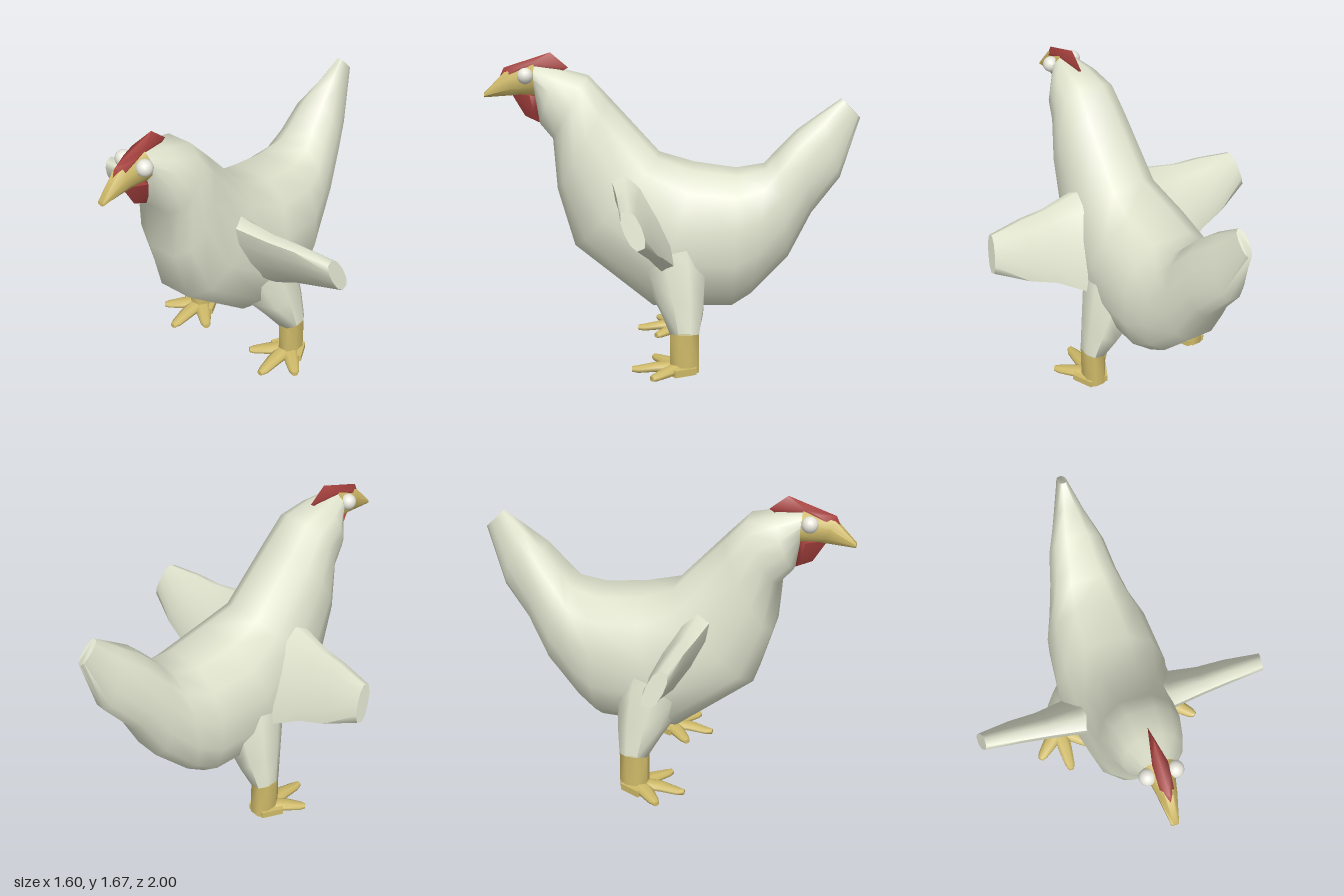
import * as THREE from 'three';
import { toCreasedNormals } from 'three/addons/utils/BufferGeometryUtils.js';
import { ConvexGeometry } from 'three/addons/geometries/ConvexGeometry.js';

const V = (x, y, z) => new THREE.Vector3(x, y, z);

// Closed ring between two opposite points, bulging along v; p < 1 makes it squarer
function ring(top, bottom, v, n = 12, p = 0.72) {
  const c = top.clone().add(bottom).multiplyScalar(0.5);
  const u = top.clone().sub(c).divideScalar(Math.cos(Math.PI / n));
  return Array.from({ length: n }, (_, i) => {
    const a = ((i + 0.5) / n) * Math.PI * 2;
    const s = Math.sin(a);
    return c.clone().addScaledVector(u, Math.cos(a)).addScaledVector(v, Math.sign(s) * Math.abs(s) ** p);
  });
}

// Skin over a row of rings, capped at both ends, always facing outward
function loft(rings, crease = 1.2) {
  const n = rings[0].length, m = rings.length, pts = rings.flat(), tris = [];
  for (let r = 0; r < m - 1; r++) {
    for (let i = 0; i < n; i++) {
      const a = r * n + i, b = r * n + ((i + 1) % n);
      tris.push([a, b, b + n], [a, b + n, a + n]);
    }
  }
  for (let i = 1; i < n - 1; i++) {
    const e = (m - 1) * n;
    tris.push([0, i + 1, i], [e, e + i, e + i + 1]);
  }
  const mid = pts.reduce((s, q) => s.add(q), V(0, 0, 0)).divideScalar(pts.length);
  let volume = 0;
  for (const [a, b, c] of tris) {
    const [A, B, C] = [a, b, c].map((k) => pts[k].clone().sub(mid));
    volume += A.dot(B.cross(C));
  }
  if (volume < 0) tris.forEach((t) => t.reverse());
  const g = new THREE.BufferGeometry().setFromPoints(pts);
  g.setIndex(tris.flat());
  return toCreasedNormals(g, crease);
}

export function createModel() {
  const material = (name, color) => {
    const m = new THREE.MeshStandardMaterial({ color });
    m.name = name;
    return m;
  };
  const feather = material('feather white', 0xdfe3cd);
  const yellow = material('beak yellow', 0xcfba69);
  const red = material('comb red', 0xa8423f);
  const eyeWhite = material('eye white', 0xe6e6dc);

  const model = new THREE.Group();
  model.name = 'hen';
  const add = (name, geometry, mat, parent = model) => {
    const mesh = new THREE.Mesh(geometry, mat);
    mesh.name = name;
    parent.add(mesh);
    return mesh;
  };

  // Body from face to tail: top z, top y, bottom z, bottom y, half width
  const body = [
    [0.73, 1.6, 0.72, 1.43, 0.085],
    [0.6, 1.58, 0.7, 1.3, 0.15],
    [0.45, 1.54, 0.63, 1.22, 0.187],
    [0.34, 1.42, 0.61, 0.95, 0.218],
    [0.07, 1.12, 0.52, 0.64, 0.253],
    [-0.12, 1.06, 0.1, 0.31, 0.313],
    [-0.35, 1.03, -0.33, 0.31, 0.287],
    [-0.5, 1.06, -0.43, 0.37, 0.235],
    [-0.56, 1.13, -0.63, 0.58, 0.192],
    [-0.67, 1.25, -0.75, 0.82, 0.155],
    [-0.79, 1.345, -0.9, 1.01, 0.085],
    [-0.9, 1.43, -1.0, 1.33, 0.025],
  ];
  add('body', loft(body.map(([tz, ty, bz, by, w]) => ring(V(0, ty, tz), V(0, by, bz), V(w, 0, 0)))), feather);

  // Beak
  const beak = [
    [0.73, 1.615, 0.71, 1.44, 0.08],
    [0.89, 1.565, 0.83, 1.445, 0.05],
    [1.0, 1.455, 1.0, 1.43, 0.02],
  ];
  add('beak', loft(beak.map(([tz, ty, bz, by, w]) => ring(V(0, ty, tz), V(0, by, bz), V(w, 0, 0), 8, 1)), 0.9), yellow);

  // Comb and wattle
  add('comb', toCreasedNormals(new ConvexGeometry([
    V(0, 1.67, 0.645), V(0, 1.59, 0.55), V(0, 1.56, 0.6), V(0, 1.588, 0.893), V(0, 1.54, 0.915),
    ...[1, -1].flatMap((s) => [V(0.038 * s, 1.618, 0.74), V(0.036 * s, 1.595, 0.8), V(0.032 * s, 1.54, 0.885)]),
  ]), 1.8), red);
  add('wattle', toCreasedNormals(new ConvexGeometry([
    V(0, 1.45, 0.855), V(0, 1.33, 0.785), V(0, 1.29, 0.7), V(0, 1.43, 0.69),
    ...[1, -1].flatMap((s) => [V(0.067 * s, 1.45, 0.75), V(0.05 * s, 1.37, 0.735)]),
  ]), 1.5), red);

  for (const [side, s] of [['left', 1], ['right', -1]]) {
    add(side + 'Eye', new THREE.SphereGeometry(0.043, 16, 12), eyeWhite).position.set(0.068 * s, 1.553, 0.77);

    // Wing, leaning forward at its upper edge: top x y z, bottom x y z, half thickness
    const wing = [
      [0.14, 1.06, 0.28, 0.2, 0.52, 0.0, 0.1],
      [0.24, 1.04, 0.275, 0.32, 0.58, 0.015, 0.08],
      [0.42, 1.015, 0.25, 0.47, 0.67, 0.06, 0.062],
      [0.57, 1.015, 0.235, 0.62, 0.73, 0.08, 0.055],
      [0.76, 1.0, 0.21, 0.8, 0.82, 0.13, 0.045],
    ];
    add(side + 'Wing', loft(wing.map(([tx, ty, tz, bx, by, bz, t]) =>
      ring(V(tx * s, ty, tz), V(bx * s, by, bz), V(0, -0.4 * t, 0.92 * t), 10, 0.7))), feather);

    // Ring across the leg: centre x y z, half width, half depth, rise of the outer side
    const across = ([x, y, z, w, d, rise = 0]) =>
      ring(V(x * s, y, z + d), V(x * s, y, z - d), V(w * s, rise, 0), 8, 0.8);
    const leg = new THREE.Group();
    leg.name = side + 'Leg';
    model.add(leg);
    // Thigh, sloping from the flank and belly down to the ankle
    add('thigh', loft([
      [0.14, 0.62, 0.0, 0.14, 0.17, 0.16],
      [0.217, 0.455, -0.035, 0.113, 0.145, 0.145],
      [0.277, 0.338, -0.06, 0.087, 0.112, 0.075],
      [0.329, 0.225, -0.075, 0.063, 0.077, 0.01],
    ].map(across), 1.5), feather, leg);
    add('shank', loft([
      [0.329, 0.23, -0.075, 0.0625, 0.076, 0.01],
      [0.329, 0.015, -0.075, 0.0625, 0.076],
    ].map(across)), yellow, leg);

    // Three tapering toes: tip x, tip z, lift of the tip
    for (const [tx, tz, lift] of [[0.17, 0.085, 0.012], [0.325, 0.19, 0.002], [0.478, 0.085, 0.012]]) {
      const from = V(0.328 * s, 0, -0.06), to = V(tx * s, 0, tz);
      const dir = to.clone().sub(from).normalize();
      const sideways = V(dir.z, 0, -dir.x);
      const toe = [[0, 0.065, 0.012, 0.05], [0.55, 0.055, 0.012, 0.042], [0.92, 0.034 + lift, lift, 0.03], [1.06, 0.03 + lift, lift + 0.004, 0.016]];
      add('toe', loft(toe.map(([k, high, low, w]) => {
        const c = from.clone().lerp(to, k);
        return ring(c.clone().setY(high), c.clone().setY(low), sideways.clone().multiplyScalar(w), 8, 0.8);
      })), yellow, leg);
    }
    // Sole, spread between the toes
    add('sole', new ConvexGeometry([0.012, 0.05].flatMap((y) => [
      V(0.275 * s, y, -0.14), V(0.383 * s, y, -0.14), V(0.435 * s, y, -0.03), V(0.328 * s, y, 0.05), V(0.221 * s, y, -0.03),
    ])), yellow, leg);
  }
  return model;
}
